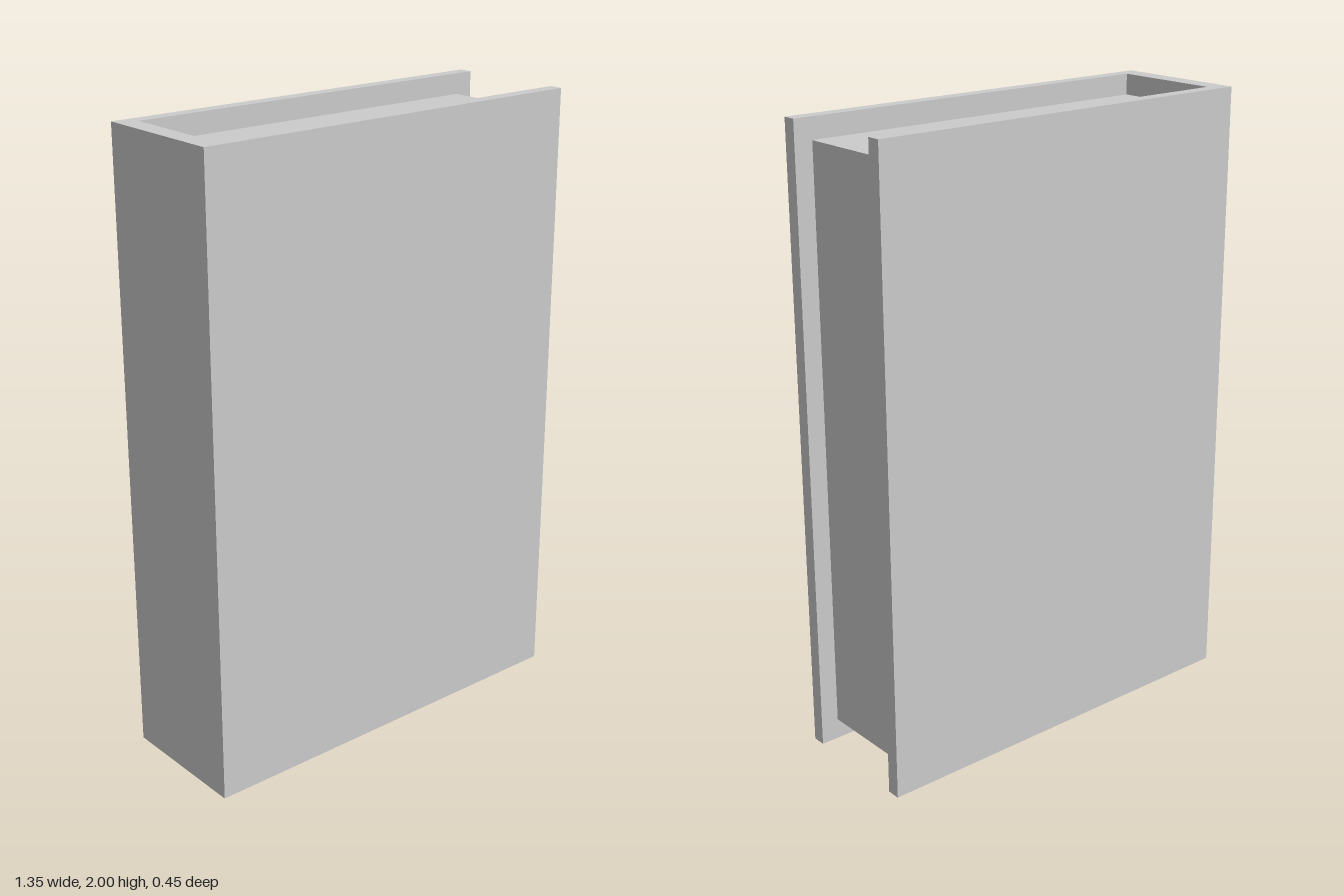
import * as THREE from 'three';

export function createModel() {
  const model = new THREE.Group();
  model.name = 'book';
  const material = new THREE.MeshStandardMaterial({ color: 0xcccccc, flatShading: true });

  const height = 2, halfWidth = 0.675, halfDepth = 0.223;
  const spine = 0.063, board = 0.044;
  const inner = halfDepth - board;

  // Cover: a C-shaped outline (two boards joined by the spine), extruded upwards
  const outline = new THREE.Shape([
    [-halfWidth, -halfDepth], [halfWidth, -halfDepth], [halfWidth, -inner],
    [-halfWidth + spine, -inner], [-halfWidth + spine, inner],
    [halfWidth, inner], [halfWidth, halfDepth], [-halfWidth, halfDepth],
  ].map(([x, y]) => new THREE.Vector2(x, y)));
  const coverGeometry = new THREE.ExtrudeGeometry(outline, { depth: height, bevelEnabled: false });
  coverGeometry.rotateX(-Math.PI / 2);
  const cover = new THREE.Mesh(coverGeometry, material);
  cover.name = 'cover';
  model.add(cover);

  // Page block, set back from the top, bottom and fore edge
  const pageLeft = -halfWidth + spine, pageRight = 0.615, pageInset = 0.067;
  const pages = new THREE.Mesh(
    new THREE.BoxGeometry(pageRight - pageLeft, height - 2 * pageInset, 2 * inner), material);
  pages.position.set((pageLeft + pageRight) / 2, height / 2, 0);
  pages.name = 'pages';
  model.add(pages);

  return model;
}
